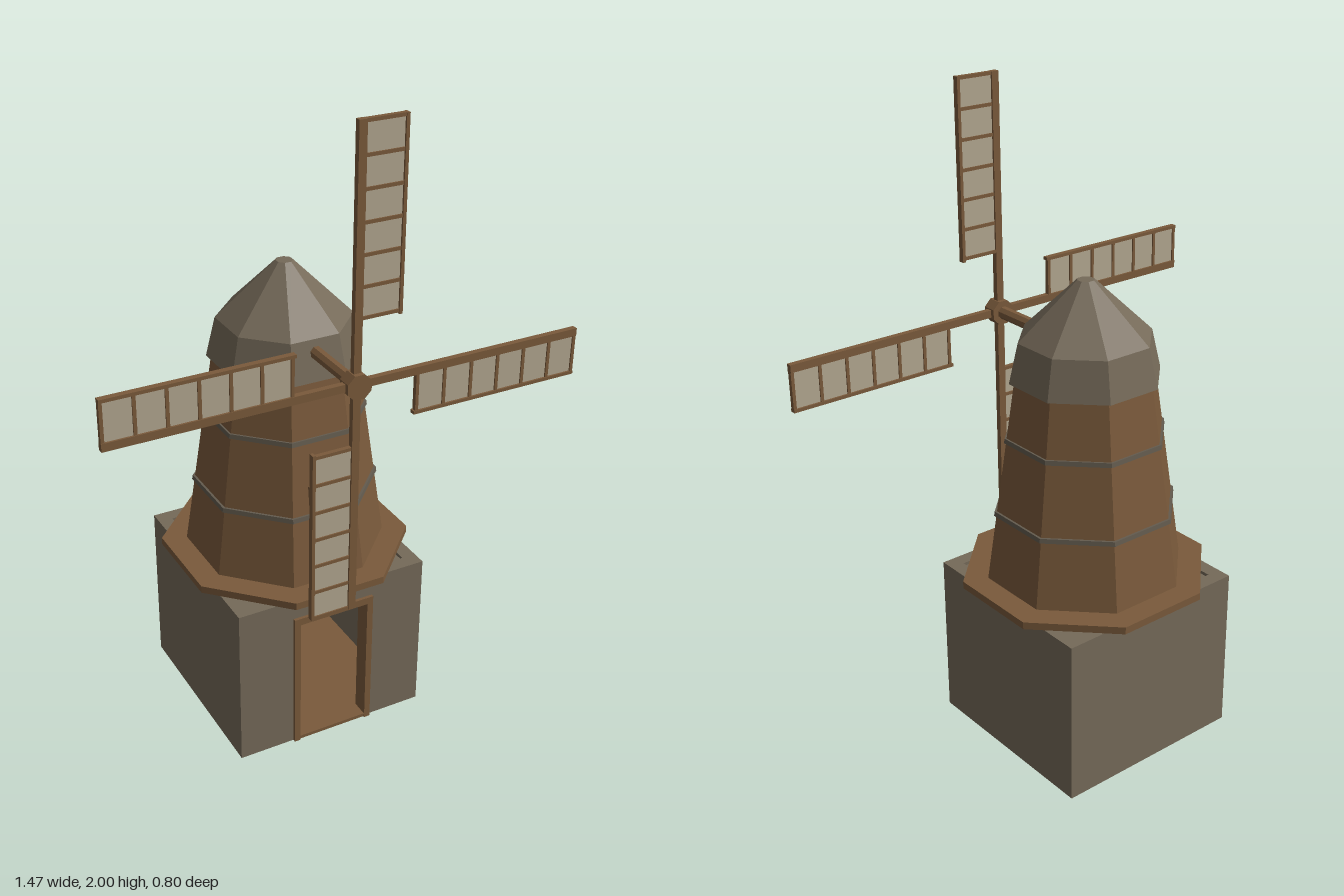
import * as THREE from 'three';

const CZ = -0.04;   // tower axis
const AXLE_Y = 1.265;

function material(name, color) {
  const m = new THREE.MeshStandardMaterial({ color });
  m.name = name;
  return m;
}

export function createModel() {
  const wood = material('wood', 0x7a5a3b);
  const stone = material('stone', 0x756a59);
  const canvas = material('canvas', 0xb3a790);
  const iron = material('iron', 0x635b4e);

  const model = new THREE.Group();
  model.name = 'windmill';

  const add = (parent, name, geometry, mat) => {
    const mesh = new THREE.Mesh(geometry, mat);
    mesh.name = name;
    parent.add(mesh);
    return mesh;
  };
  // Box from minimum and maximum corners
  const box = (parent, name, mat, [x0, y0, z0], [x1, y1, z1]) => {
    const g = new THREE.BoxGeometry(x1 - x0, y1 - y0, z1 - z0);
    g.translate((x0 + x1) / 2, (y0 + y1) / 2, (z0 + z1) / 2);
    return add(parent, name, g, mat);
  };
  // Faceted octagonal frustum, radii measured to the flats
  const octagon = (parent, name, mat, y0, y1, a0, a1) => {
    const k = 1 / Math.cos(Math.PI / 8);
    const g = new THREE.CylinderGeometry(a1 * k, a0 * k, y1 - y0, 8).toNonIndexed();
    g.rotateY(Math.PI / 8);
    g.translate(0, (y0 + y1) / 2, CZ);
    g.computeVertexNormals();
    return add(parent, name, g, mat);
  };

  // Hollow square base with an open doorway
  const base = new THREE.Group();
  base.name = 'base';
  model.add(base);
  const W = 0.315, T = 0.045, H = 0.53, DOOR = 0.13, DOOR_TOP = 0.46;
  const back = CZ - W, front = CZ + W;
  box(base, 'backWall', stone, [-W, 0, back], [W, H, back + T]);
  for (const s of [-1, 1]) {
    const span = (a, b) => [Math.min(s * a, s * b), Math.max(s * a, s * b)];
    const [a, b] = span(W - T, W);
    box(base, 'sideWall', stone, [a, 0, back + T], [b, H, front - T]);
    const [c, d] = span(DOOR, W);
    box(base, 'frontWall', stone, [c, 0, front - T], [d, H, front]);
    const [e, f] = span(0.115, 0.135);
    box(base, 'doorPost', wood, [e, 0, front - T], [f, 0.465, front + 0.01]);
  }
  box(base, 'doorLintelWall', stone, [-DOOR, DOOR_TOP, front - T], [DOOR, H, front]);
  box(base, 'doorHead', wood, [-0.115, 0.442, front - T], [0.115, 0.465, front + 0.01]);
  box(base, 'doorSill', wood, [-0.115, 0.003, front - T], [0.115, 0.014, front + 0.008]);
  box(base, 'floor', wood, [-W + T, 0.003, back + T], [W - T, 0.014, front - T]);
  box(base, 'ceiling', stone, [-W + T, 0.5, back + T], [W - T, 0.52, front - T]);

  // Platform, tapering tower and hoops
  octagon(model, 'platform', wood, 0.53, 0.553, 0.358, 0.358);
  octagon(model, 'tower', wood, 0.55, 1.2, 0.286, 0.198);
  octagon(model, 'lowerHoop', iron, 0.763, 0.777, 0.264, 0.262);
  octagon(model, 'upperHoop', iron, 0.998, 1.012, 0.231, 0.229);

  // Two-stage roof cap
  octagon(model, 'capSkirt', stone, 1.183, 1.305, 0.214, 0.188);
  octagon(model, 'capRoof', stone, 1.305, 1.477, 0.188, 0.024);

  // Shuttered window
  box(model, 'window', wood, [-0.05, 0.72, 0.16], [0.05, 0.865, 0.253]);

  // Axle and hub
  const rod = (name, radius, z0, z1) => {
    const g = new THREE.CylinderGeometry(radius, radius, z1 - z0, 8).toNonIndexed();
    g.rotateY(Math.PI / 8);
    g.rotateX(Math.PI / 2);
    g.translate(0, AXLE_Y, (z0 + z1) / 2);
    g.computeVertexNormals();
    return add(model, name, g, wood);
  };
  rod('axle', 0.02, 0, 0.37);
  rod('hub', 0.04, 0.355, 0.4);

  // Four lattice sails
  const R = 0.735, INNER = 0.195, EDGE = 0.13, Z = 0.009;
  for (let i = 0; i < 4; i++) {
    const sail = new THREE.Group();
    sail.name = 'sail';
    sail.position.set(0, AXLE_Y, 0.377);
    sail.rotation.z = -i * Math.PI / 2;
    model.add(sail);
    box(sail, 'spar', wood, [-0.012, 0, -Z], [0.012, R, Z]);
    box(sail, 'rail', wood, [EDGE - 0.005, INNER - 0.01, -Z], [EDGE + 0.005, R, Z]);
    box(sail, 'cloth', canvas, [0.012, INNER, -0.003], [EDGE - 0.005, R - 0.005, 0.003]);
    for (let j = 0; j <= 6; j++) {
      const y = INNER + (R - 0.005 - INNER) * j / 6;
      box(sail, 'slat', wood, [0.012, y - 0.005, -0.007], [EDGE - 0.005, y + 0.005, 0.007]);
    }
  }
  return model;
}
